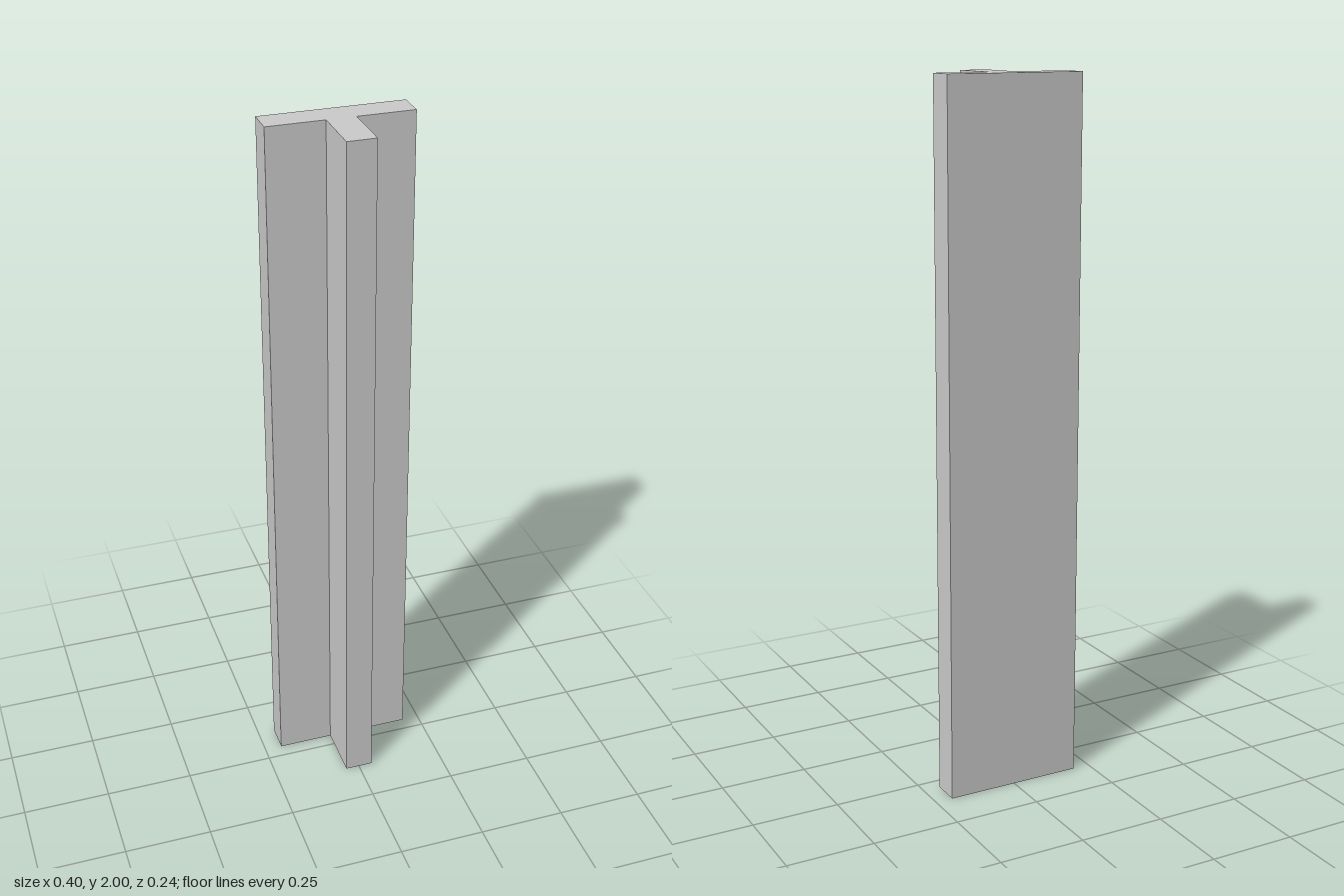
import * as THREE from 'three';

export function createModel() {
  const group = new THREE.Group();
  group.name = 'teeBar';

  const height = 2;
  const flangeHalf = 0.2; // half width of the wide back plate
  const webHalf = 0.04;   // half thickness of the front rib
  const back = 0.12, step = 0.04, front = -0.12;

  // T-shaped cross-section, drawn with the back of the bar at +y
  const section = new THREE.Shape([
    [-webHalf, front], [webHalf, front], [webHalf, step], [flangeHalf, step],
    [flangeHalf, back], [-flangeHalf, back], [-flangeHalf, step], [-webHalf, step],
  ].map(([x, y]) => new THREE.Vector2(x, y)));

  // Extruded and stood upright, so the rib faces +z
  const geometry = new THREE.ExtrudeGeometry(section, { depth: height, bevelEnabled: false });
  geometry.rotateX(-Math.PI / 2);

  const bar = new THREE.Mesh(geometry, new THREE.MeshStandardMaterial({ color: 0xcccccc, flatShading: true }));
  bar.name = 'teeProfile';
  group.add(bar);
  return group;
}
